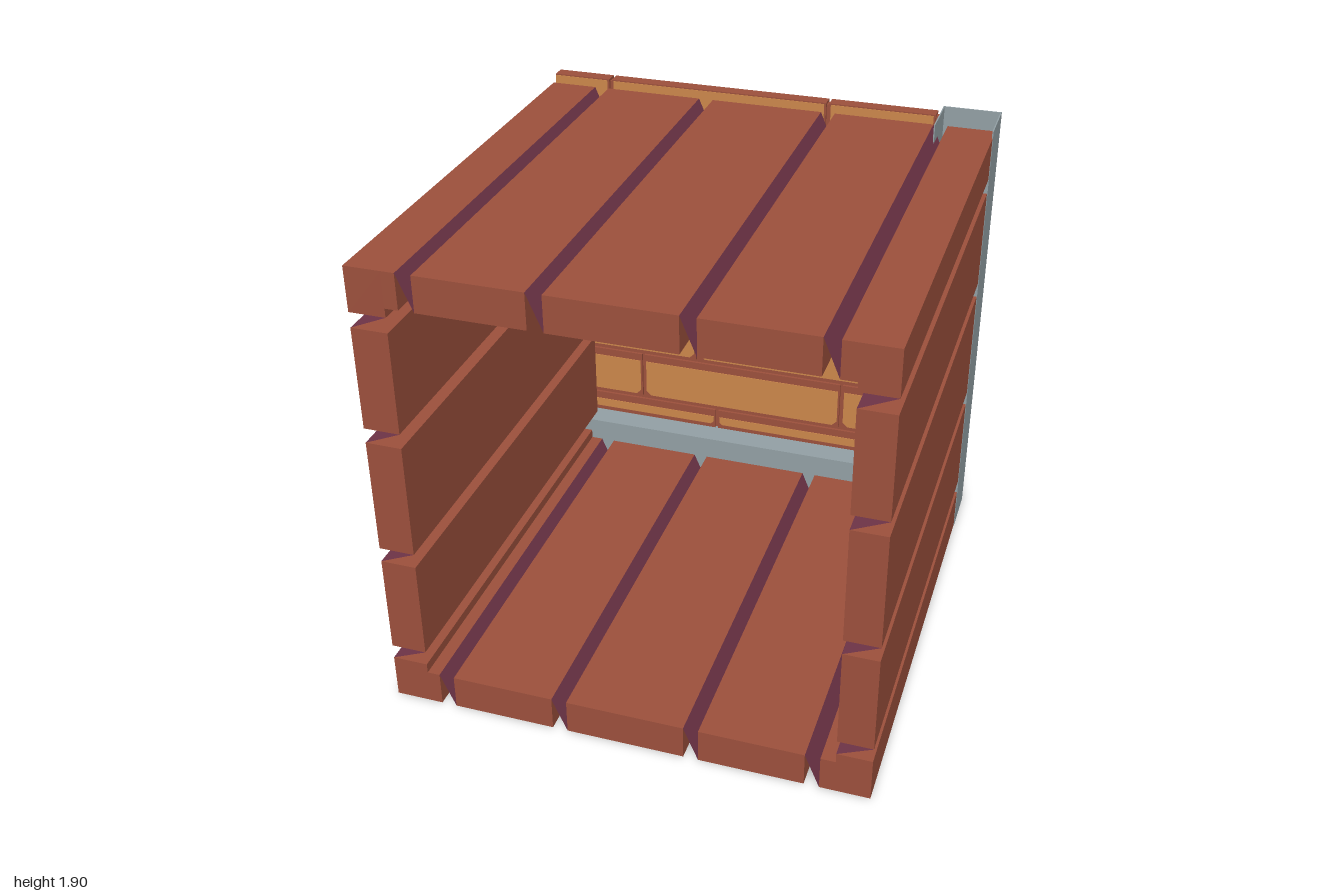
import * as THREE from 'three';

const mat = (name, color, side = THREE.FrontSide) => {
  const m = new THREE.MeshStandardMaterial({ color, side });
  m.name = name;
  return m;
};

export function createModel() {
  const wood = mat('red wood', 0x9c503c);
  const clay = mat('orange brick', 0xcc874b);
  const steel = mat('grey frame', 0x93a0a5);
  const plum = mat('purple seam', 0x73364a, THREE.DoubleSide);
  const model = new THREE.Group();

  const add = (parent, name, geometry, material) => {
    const mesh = new THREE.Mesh(geometry, material);
    mesh.name = name;
    parent.add(mesh);
    return mesh;
  };
  // Box given by its limits on each axis
  const box = (parent, name, material, x0, x1, y0, y1, z0, z1) =>
    add(parent, name, new THREE.BoxGeometry(x1 - x0, y1 - y0, z1 - z0), material)
      .position.set((x0 + x1) / 2, (y0 + y1) / 2, (z0 + z1) / 2);
  // Slanted strip closing the gap between two planks
  const seam = (parent, xa, ya, xb, yb, zBack) => {
    const g = new THREE.BufferGeometry();
    g.setAttribute('position', new THREE.Float32BufferAttribute(
      [xa, ya, 1, xb, yb, 1, xb, yb, zBack, xa, ya, zBack], 3));
    g.setIndex([0, 1, 2, 0, 2, 3]);
    g.computeVertexNormals();
    add(parent, 'seam', g, plum);
  };
  const group = (name) => {
    const g = new THREE.Group();
    g.name = name;
    model.add(g);
    return g;
  };

  // Side walls: stacked planks with seams
  const sideRows = [[0, 0.18], [0.24, 0.645], [0.705, 1.17], [1.23, 1.635], [1.695, 1.87]];
  for (const [name, x0, x1] of [['rightSide', -0.95, -0.81], ['leftSide', 0.81, 0.945]]) {
    const side = group(name);
    sideRows.forEach(([y0, y1], i) => {
      const back = i === 4 || (x0 < 0 && i > 0) ? -0.86 : -0.78;
      box(side, 'sidePlank', wood, x0, x1, y0, y1, back, 1);
      if (i < 4) seam(side, x0, y1, x1, sideRows[i + 1][0], x0 < 0 ? -0.86 : -0.78);
    });
  }

  // Roof and floor: planks running front to back
  const columns = [[-0.81, -0.76], [-0.7, -0.295], [-0.235, 0.23], [0.288, 0.695], [0.753, 0.81]];
  for (const [name, y0, y1, back] of [['floor', 0, 0.14, -0.78], ['roof', 1.73, 1.87, -0.86]]) {
    const deck = group(name);
    columns.forEach(([x0, x1], i) => {
      box(deck, 'plank', wood, x0, x1, y0, y1, back, 1);
      if (i < 4) seam(deck, x1, y1, columns[i + 1][0], y0, back);
    });
  }

  // Back frame: solid beam and a hollow post with an open top
  const frame = group('backFrame');
  box(frame, 'beam', steel, -0.952, 0.947, 0, 0.24, -1, -0.78);
  const [pl, pr, pb, pf, t] = [0.71, 0.947, -1, -0.778, 0.005];
  box(frame, 'postInner', steel, pl, pl + t, 0.23, 1.9, pb, pf);
  box(frame, 'postOuter', steel, pr - t, pr, 0.23, 1.9, pb, pf);
  box(frame, 'postBack', steel, pl + t, pr - t, 0.23, 1.9, pb, pb + t);
  // The front of the post stops under the roof planks
  box(frame, 'postFront', steel, pl + t, pr - t, 0.23, 1.725, pf - t, pf);
  box(frame, 'postCore', clay, pl + t, pr - t, 0.235, 0.25, pb + t, pf - t);

  // Brick wall: mortar slab, red blocks and orange faces on both sides
  const wall = group('brickWall');
  box(wall, 'mortar', wood, -0.945, 0.71, 0.22, 1.89, -0.93, -0.9);
  const rows = [
    // block bottom, block top, face bottom, face top, first joint
    [0.24, 0.335, 0.26, 0.3, -0.22],
    [0.352, 0.575, 0.36, 0.54, -0.58],
    [0.59, 0.805, 0.6, 0.78, -0.315],
    [0.825, 1.075, 0.835, 1.05, -0.7],
    [1.09, 1.28, 1.1, 1.25, -0.22],
    [1.295, 1.517, 1.31, 1.49, -0.58],
    [1.532, 1.75, 1.545, 1.735, -0.315],
    [1.765, 1.9, 1.775, 1.895, -0.7],
  ];
  // Face outline with chipped lower corners
  const face = (x0, x1, y0, y1) => {
    const c = Math.min(0.022, (x1 - x0) / 3, (y1 - y0) / 3);
    const s = new THREE.Shape();
    s.moveTo(x0 + c, y0);
    s.lineTo(x1 - c, y0);
    s.lineTo(x1, y0 + c);
    s.lineTo(x1, y1);
    s.lineTo(x0, y1);
    s.lineTo(x0, y0 + c);
    s.closePath();
    return new THREE.ExtrudeGeometry(s, { depth: 0.004, bevelEnabled: false });
  };
  for (const [b0, b1, f0, f1, joint] of rows) {
    const cuts = [-0.95, joint, joint + 0.95, 0.71].filter((x) => x <= 0.71);
    if (cuts[cuts.length - 1] !== 0.71) cuts.push(0.71);
    for (let i = 0; i < cuts.length - 1; i++) {
      const x0 = cuts[i] + (i ? 0.006 : 0);
      const x1 = cuts[i + 1] - (i < cuts.length - 2 ? 0.006 : 0.012);
      box(wall, 'brick', wood, x0, x1, b0, b1, -0.944, -0.888);
      const g = face(x0 + (i ? 0.008 : 0), x1 - 0.008, f0, f1);
      add(wall, 'brickFaceFront', g, clay).position.z = -0.889;
      add(wall, 'brickFaceBack', g, clay).position.z = -0.947;
    }
  }
  return model;
}
